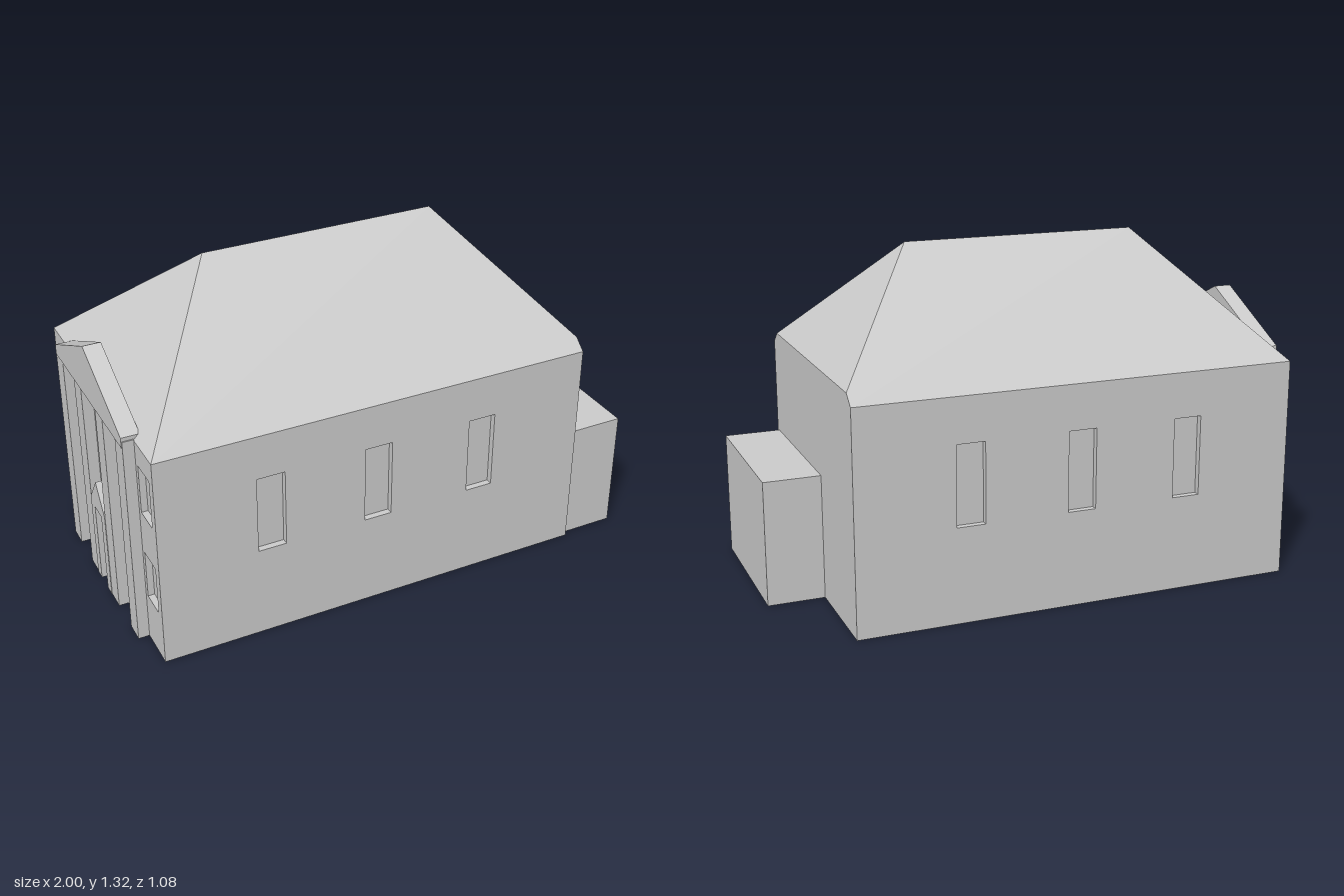
import * as THREE from 'three';

const HALF_Z = 0.54, LEFT = -0.955, RIGHT = 0.78, EAVE = 0.855, INSET = 0.025;

export function createModel() {
  const group = new THREE.Group();
  const stone = new THREE.MeshStandardMaterial({ color: 0xcccccc });
  stone.name = 'pale grey stone';

  const add = (name, geometry) => {
    const mesh = new THREE.Mesh(geometry, stone);
    mesh.name = name;
    group.add(mesh);
    return mesh;
  };
  const block = (name, x0, x1, y0, y1, z0, z1) => {
    const g = new THREE.BoxGeometry(x1 - x0, y1 - y0, z1 - z0);
    add(name, g.translate((x0 + x1) / 2, (y0 + y1) / 2, (z0 + z1) / 2));
  };
  const polygon = (points) => new THREE.Shape(points.map(([x, y]) => new THREE.Vector2(x, y)));
  const rect = (x0, x1, y0, y1) => polygon([[x0, y0], [x1, y0], [x1, y1], [x0, y1]]);
  const extrude = (shape, depth) => new THREE.ExtrudeGeometry(shape, { depth, bevelEnabled: false });
  // Extrudes a (z, y) outline towards -x, from x0 to x1
  const facadePart = (name, shape, x0, x1) =>
    add(name, extrude(shape, x0 - x1).rotateY(-Math.PI / 2).translate(x0, 0, 0));

  // Solid core, which also forms the backs of the window recesses
  block('core', LEFT + INSET, RIGHT, 0, EAVE, -HALF_Z + INSET, HALF_Z - INSET);

  // Long walls with three windows each
  const wall = rect(LEFT, RIGHT, 0, EAVE);
  for (const x of [-0.52, -0.09, 0.345]) wall.holes.push(rect(x - 0.055, x + 0.055, 0.37, 0.68));
  add('frontWall', extrude(wall, INSET).translate(0, 0, HALF_Z - INSET));
  add('backWall', extrude(wall, INSET).translate(0, 0, -HALF_Z));

  // Entrance wall with two rows of windows and one over the door
  const end = HALF_Z - INSET;
  const entrance = rect(-end, end, 0, EAVE);
  for (const z of [-0.45, -0.228, 0.228, 0.45]) {
    for (const y of [0.2, 0.57]) entrance.holes.push(rect(z - 0.054, z + 0.054, y, y + 0.195));
  }
  entrance.holes.push(rect(-0.06, 0.06, 0.56, 0.8));
  facadePart('entranceWall', entrance, LEFT + INSET, LEFT);

  // Pilasters
  for (const z of [-0.335, -0.12, 0.12, 0.335]) {
    block('pilaster', -0.998, LEFT, 0, 0.86, z - 0.04, z + 0.04);
  }

  // Pediment above the pilasters
  facadePart('pediment',
    polygon([[-0.37, 0.835], [0.37, 0.835], [0.37, 0.875], [0, 1.05], [-0.37, 0.875]]), -0.93, -1);

  // Gabled door surround
  facadePart('doorSurround', polygon([
    [-0.08, 0], [-0.036, 0], [-0.036, 0.335], [0.036, 0.335], [0.036, 0],
    [0.08, 0], [0.08, 0.36], [0, 0.47], [-0.08, 0.36],
  ]), LEFT, -1);

  // Hipped roof, with the right-hand hip cut short by the end wall
  const corners = [
    [LEFT, EAVE, HALF_Z], [RIGHT, EAVE, HALF_Z], [RIGHT, EAVE, -HALF_Z], [LEFT, EAVE, -HALF_Z],
    [RIGHT, 0.895, 0.493], [RIGHT, 0.895, -0.493], [-0.53, 1.315, 0], [0.4, 1.315, 0],
  ];
  const faces = [
    [0, 1, 4, 7, 6], [2, 3, 6, 7, 5], [3, 0, 6], [4, 5, 7], [1, 2, 5, 4], [0, 3, 2, 1],
  ];
  const positions = [];
  for (const f of faces) {
    for (let i = 1; i < f.length - 1; i++) {
      for (const k of [f[0], f[i], f[i + 1]]) positions.push(...corners[k]);
    }
  }
  const roof = new THREE.BufferGeometry();
  roof.setAttribute('position', new THREE.Float32BufferAttribute(positions, 3));
  roof.computeVertexNormals();
  add('roof', roof);

  // Side annex
  block('annex', RIGHT, 1, 0, 0.485, -0.12, 0.52);

  return group;
}
